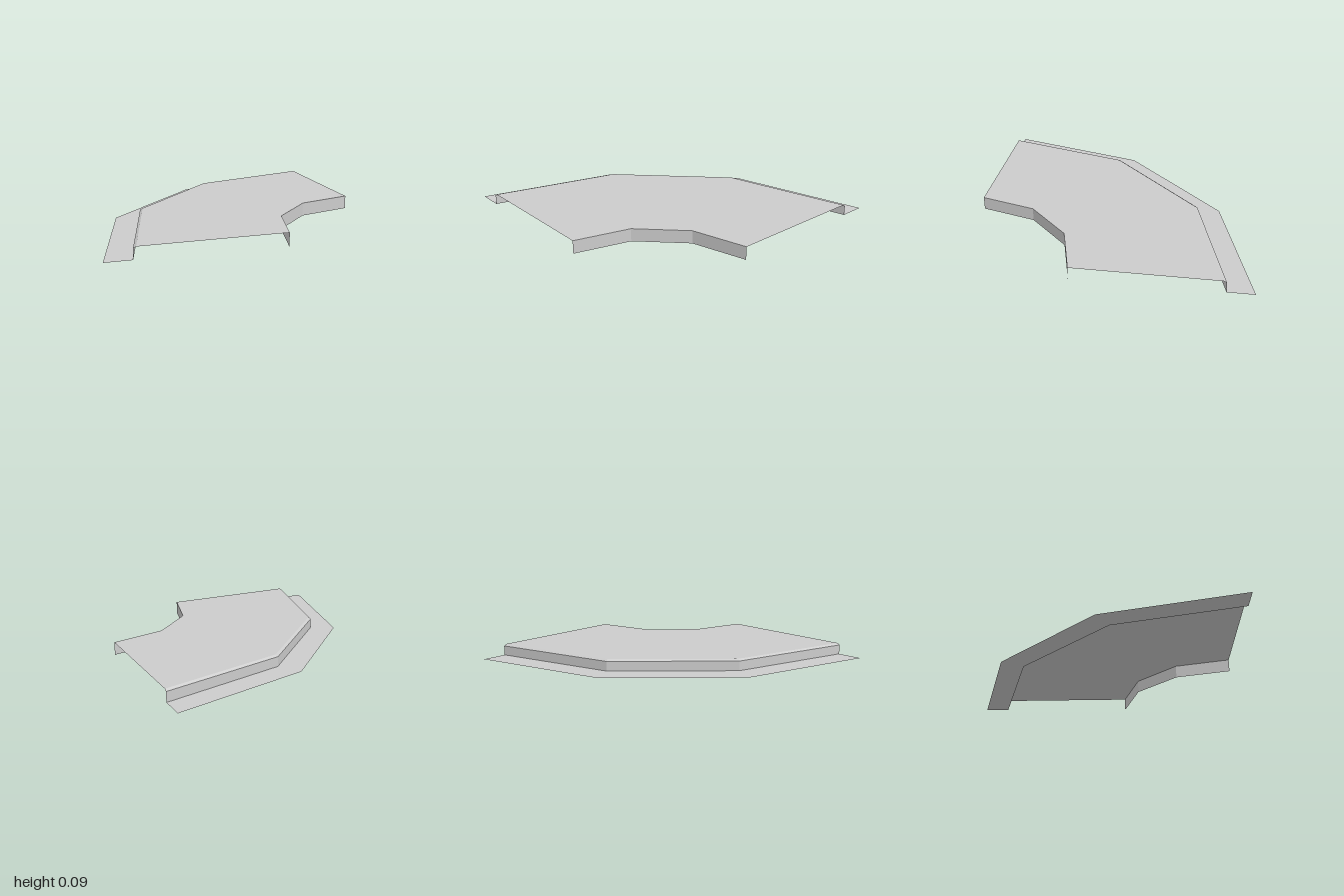
import * as THREE from 'three';

// Cross-section [radius, height], from the outer flange to the inner kerb
const PROFILE = [[2, 0.012], [1.816, 0.012], [1.816, 0.083], [1.797, 0.095], [0.8, 0.095], [0.8, 0]];
const PARTS = ['outerFlange', 'outerWall', 'bevelEdge', 'deck', 'innerWall'];
const SEGMENTS = 3;

// Point on the quarter bend, which turns around the corner (1, 1)
function bendPoint([radius, y], step) {
  const a = (step / SEGMENTS) * Math.PI / 2;
  return [1 - radius * Math.sin(a), y, 1 - radius * Math.cos(a)];
}

// Faceted band between two neighbouring profile points
function bandGeometry(p, q) {
  const positions = [];
  for (let i = 0; i < SEGMENTS; i++) {
    const a = bendPoint(p, i), b = bendPoint(p, i + 1);
    const c = bendPoint(q, i + 1), d = bendPoint(q, i);
    positions.push(...a, ...b, ...c, ...a, ...c, ...d);
  }
  const geometry = new THREE.BufferGeometry();
  geometry.setAttribute('position', new THREE.Float32BufferAttribute(positions, 3));
  geometry.computeVertexNormals();
  return geometry;
}

export function createModel() {
  const group = new THREE.Group();
  group.name = 'cornerPanel';
  const grey = new THREE.MeshStandardMaterial({ color: 0xcccccc, side: THREE.DoubleSide });
  grey.name = 'light grey';
  PARTS.forEach((name, i) => {
    const mesh = new THREE.Mesh(bandGeometry(PROFILE[i], PROFILE[i + 1]), grey);
    mesh.name = name;
    group.add(mesh);
  });
  return group;
}
